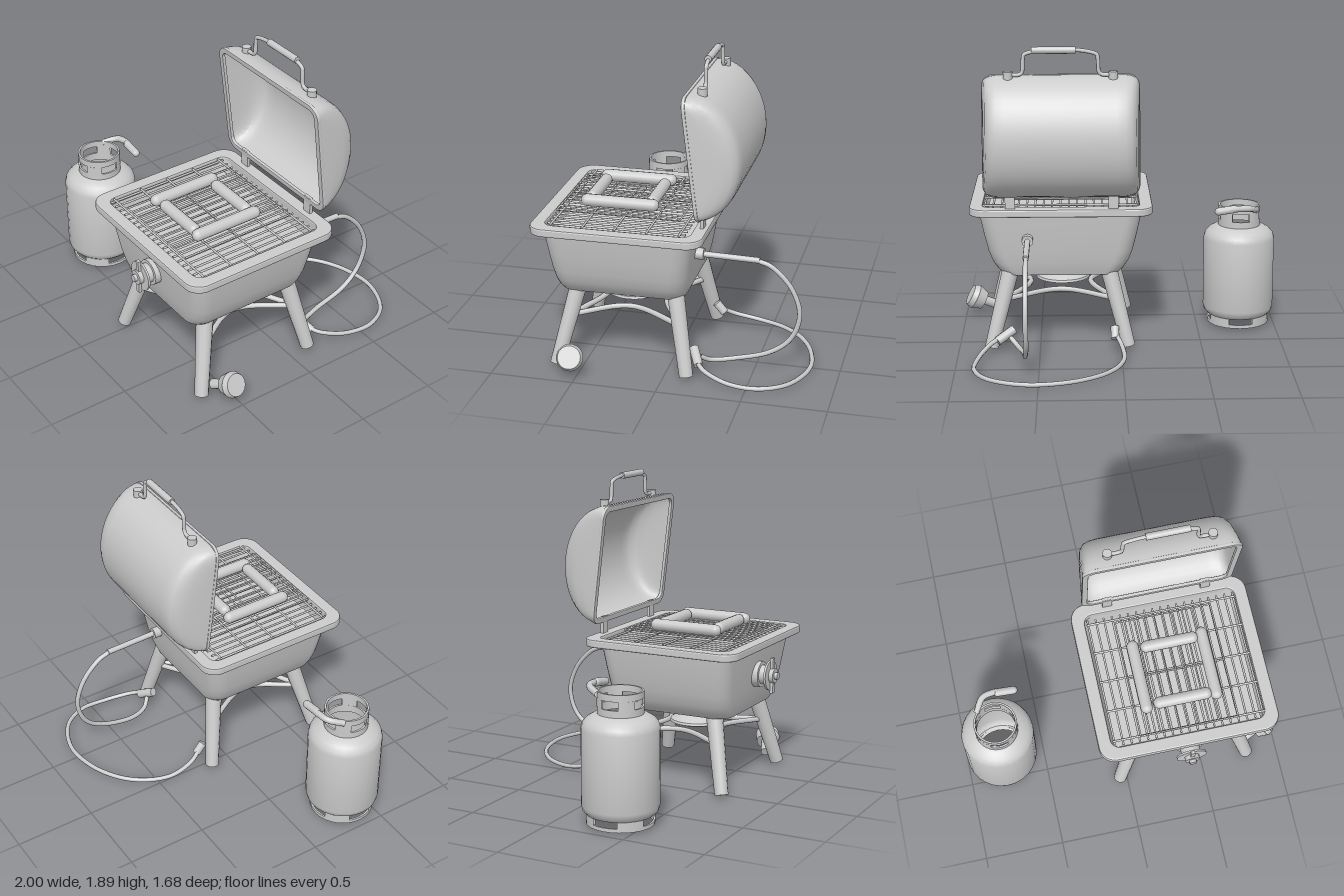
import * as THREE from 'three';
import { toCreasedNormals } from 'three/addons/utils/BufferGeometryUtils.js';

const mat = new THREE.MeshStandardMaterial({ color: 0xcccccc, side: THREE.DoubleSide });
const V = (x, y, z) => new THREE.Vector3(x, y, z);

export function createModel() {
  const root = new THREE.Group();
  const group = (name, parent = root) => {
    const g = new THREE.Group();
    g.name = name;
    parent.add(g);
    return g;
  };
  const add = (name, geo, parent, p = [0, 0, 0]) => {
    const m = new THREE.Mesh(geo, mat);
    m.name = name;
    m.position.set(...p);
    parent.add(m);
    return m;
  };
  // straight rod between two points
  const rod = (name, a, b, r, parent, r2 = r, sides = 12) => {
    const m = add(name, new THREE.CylinderGeometry(r2, r, a.distanceTo(b), sides), parent);
    m.position.copy(a).lerp(b, 0.5);
    m.quaternion.setFromUnitVectors(V(0, 1, 0), b.clone().sub(a).normalize());
    return m;
  };
  const tube = (name, pts, r, parent, tension = 0.5) => {
    const curve = new THREE.CatmullRomCurve3(pts.map((p) => V(...p)), false, 'catmullrom', tension);
    return add(name, new THREE.TubeGeometry(curve, pts.length * 8, r, 8), parent);
  };
  // skin over rings of points
  const loft = (rings, closed) => {
    const n = rings[0].length, idx = [];
    for (let i = 0; i < rings.length - 1; i++)
      for (let j = 0; j < (closed ? n : n - 1); j++) {
        const k = (j + 1) % n, a = i * n + j, b = i * n + k, c = a + n, d = b + n;
        idx.push(a, b, c, b, d, c);
      }
    const g = new THREE.BufferGeometry().setFromPoints(rings.flat());
    g.setIndex(idx);
    return toCreasedNormals(g, 0.6);
  };
  const roundRect = (Type, hx, hy, r) => {
    const s = new Type();
    s.absarc(hx - r, hy - r, r, 0, Math.PI / 2);
    s.absarc(-hx + r, hy - r, r, Math.PI / 2, Math.PI);
    s.absarc(-hx + r, -hy + r, r, Math.PI, Math.PI * 1.5);
    s.absarc(hx - r, -hy + r, r, Math.PI * 1.5, Math.PI * 2);
    s.closePath();
    return s;
  };
  const frame = (hx, hy, r, inset, depth, bevel) => {
    const s = roundRect(THREE.Shape, hx - bevel, hy - bevel, r);
    s.holes.push(roundRect(THREE.Path, hx - inset, hy - inset, r * 0.7));
    return new THREE.ExtrudeGeometry(s, {
      depth, bevelEnabled: true, bevelSize: bevel, bevelThickness: bevel, bevelSegments: 2, curveSegments: 8,
    });
  };

  // Bowl: rounded rectangles narrowing to a flat bottom
  const grill = group('grill');
  const CX = 0.37;
  const section = (y, hx, hz, r, cz) => {
    const ring = [];
    for (let q = 0; q < 4; q++)
      for (let i = 0; i <= 6; i++) {
        const a = (q + i / 6) * Math.PI / 2;
        const sx = q === 0 || q === 3 ? 1 : -1, sz = q < 2 ? 1 : -1;
        ring.push(V(CX + sx * (hx - r) + r * Math.cos(a), y, cz + sz * (hz - r) + r * Math.sin(a)));
      }
    return ring;
  };
  const levels = [[0.88, 0.5, 0.44], [0.8, 0.488, 0.432], [0.7, 0.468, 0.42], [0.6, 0.445, 0.407],
    [0.53, 0.42, 0.396], [0.48, 0.39, 0.385], [0.45, 0.36, 0.376]];
  const rings = levels.map(([y, hx, hz]) => section(y, hx, hz, 0.1, 0.277));
  rings.push(section(0.445, 0.0011, 0.0011, 0.001, 0.277));
  add('bowl', loft(rings, true), grill);
  add('bowlRim', frame(0.555, 0.51, 0.09, 0.07, 0.03, 0.01).rotateX(-Math.PI / 2), grill, [0.365, 0.86, 0.27]);

  // Cooking grates
  const grate = group('grates', grill);
  add('emberTray', new THREE.BoxGeometry(0.9, 0.01, 0.8), grate, [CX, 0.81, 0.277]);
  for (let i = 0; i < 19; i++)
    rod('grateBar', V(-0.09 + i * 0.051, 0.885, -0.13), V(-0.09 + i * 0.051, 0.885, 0.69), 0.007, grate, 0.007, 6);
  for (let i = 0; i < 5; i++)
    rod('crossBar', V(-0.1, 0.895, -0.1 + i * 0.19), V(0.84, 0.895, -0.1 + i * 0.19), 0.007, grate, 0.007, 6);
  for (let i = 0; i < 11; i++)
    rod('rackBar', V(0.07 + i * 0.06, 0.93, -0.07), V(0.07 + i * 0.06, 0.93, 0.67), 0.006, grate, 0.006, 6);
  for (const z of [-0.07, 0.3, 0.67])
    rod('rackCrossBar', V(0.07, 0.925, z), V(0.67, 0.925, z), 0.006, grate, 0.006, 6);

  // Sausages laid in a square
  const food = group('sausages', grill);
  const sausage = (x, z, len, along) => {
    const m = add('sausage', new THREE.CapsuleGeometry(0.037, len - 0.074, 5, 12), food, [x, 0.965, z]);
    if (along === 'x') m.rotation.z = Math.PI / 2;
    else m.rotation.x = Math.PI / 2;
  };
  sausage(0.365, 0.135, 0.36, 'x');
  sausage(0.365, 0.5, 0.36, 'x');
  sausage(0.14, 0.315, 0.47, 'z');
  sausage(0.57, 0.315, 0.47, 'z');

  // Lid: half ellipse slices across the width, tapering into the end walls
  const lid = group('lid', grill);
  lid.position.set(0.36, 1.335, -0.158);
  lid.rotation.x = 0.116;
  const half = [[0.47, 0.82, 0], [0.465, 0.88, 0.3], [0.455, 0.93, 0.6], [0.44, 0.96, 0.83], [0.415, 0.985, 0.94],
    [0.38, 1, 0.985], [0.33, 1, 1]];
  const slices = [...half.map(([h, s, d]) => [-h, s, d]), ...half.slice().reverse()];
  const lidRings = slices.map(([x, s, d]) => Array.from({ length: 25 }, (_, i) => {
    const a = i / 24 * Math.PI;
    return V(x, -Math.cos(a) * 0.366 * s, -Math.sin(a) * 0.28 * d);
  }));
  add('lidShell', loft(lidRings, false), lid);
  add('lidRim', frame(0.472, 0.369, 0.07, 0.03, 0.012, 0.005), lid, [0, 0, -0.01]);

  // Lid handle, mirrored about the lid centre
  const handle = group('lidHandle', grill);
  tube('handleBar', [[0.05, 1.71, -0.2], [0.11, 1.71, -0.2], [0.135, 1.73, -0.2], [0.14, 1.8, -0.2], [0.155, 1.835, -0.2],
    [0.25, 1.855, -0.2], [0.36, 1.857, -0.2], [0.47, 1.855, -0.2], [0.565, 1.835, -0.2], [0.58, 1.8, -0.2],
    [0.585, 1.73, -0.2], [0.61, 1.71, -0.2], [0.67, 1.71, -0.2]], 0.012, handle);
  rod('handleGrip', V(0.27, 1.855, -0.2), V(0.53, 1.855, -0.2), 0.021, handle);
  for (const x of [0.05, 0.67]) {
    rod('handleBolt', V(x, 1.68, -0.2), V(x, 1.73, -0.2), 0.028, handle);
    add('hinge', new THREE.BoxGeometry(0.06, 0.15, 0.02), grill, [x, 0.93, -0.205]);
  }

  // Front burner knob
  const knob = group('burnerKnob', grill);
  const stack = [[0.67, 0.73, 0.08], [0.73, 0.775, 0.06], [0.775, 0.788, 0.093], [0.788, 0.815, 0.045], [0.815, 0.835, 0.022]];
  for (const [a, b, r] of stack) rod('knobDisc', V(0.37, 0.67, a), V(0.37, 0.67, b), r, knob, r, 20);
  add('knobLever', new THREE.BoxGeometry(0.026, 0.22, 0.02), knob, [0.37, 0.67, 0.795]);

  // Legs and bowed braces
  const stand = group('stand', grill);
  const corners = [[0.68, 0.8, 0.545, 0.655], [0.68, 0.8, -0.045, -0.135], [0.075, -0.045, -0.045, -0.135], [0.075, -0.045, 0.545, 0.655]];
  for (const [xt, xb, zt, zb] of corners) rod('leg', V(xb, 0, zb), V(xt, 0.47, zt), 0.042, stand, 0.052);
  const joint = ([xt, xb, zt, zb]) => V(xt, 0, zt).lerp(V(xb, 0, zb), 0.35).setY(0.29);
  corners.forEach((c, i) => {
    const a = joint(c), b = joint(corners[(i + 1) % 4]);
    const m = a.clone().lerp(b, 0.5).lerp(V(CX, 0.29, 0.27), 0.45).setY(0.305);
    tube('brace', [a, m, b].map((p) => p.toArray()), 0.017, stand);
  });

  // Drip pan under the bowl
  const panProfile = [[0, 0.31], [0.11, 0.31], [0.17, 0.33], [0.165, 0.345], [0.11, 0.375], [0.085, 0.39], [0.105, 0.41], [0.09, 0.425], [0.11, 0.45]];
  add('dripPan', toCreasedNormals(new THREE.LatheGeometry(panProfile.map((p) => new THREE.Vector2(...p)), 24), 0.5), grill, [0.36, 0, 0.29]);

  // Gas inlet and hoses
  const gas = group('gasLine');
  rod('inletFlange', V(0.57, 0.69, -0.13), V(0.57, 0.69, -0.19), 0.035, gas);
  rod('inletPipe', V(0.57, 0.69, -0.15), V(0.57, 0.68, -0.52), 0.018, gas);
  tube('upperHose', [[0.57, 0.68, -0.5], [0.57, 0.64, -0.6], [0.57, 0.52, -0.71], [0.57, 0.36, -0.76], [0.57, 0.2, -0.71],
    [0.58, 0.1, -0.58], [0.59, 0.045, -0.38], [0.63, 0.04, -0.25], [0.68, 0.08, -0.19]], 0.015, gas);
  tube('groundHose', [[0.04, 0.1, -0.17], [0.0, 0.05, -0.27], [-0.01, 0.02, -0.42], [0.05, 0.015, -0.58], [0.17, 0.015, -0.71], [0.35, 0.015, -0.8],
    [0.57, 0.015, -0.825], [0.78, 0.015, -0.74], [0.88, 0.015, -0.58], [0.87, 0.02, -0.4], [0.81, 0.05, -0.25], [0.74, 0.08, -0.18]], 0.014, gas);
  rod('hoseFitting', V(0.66, 0.12, -0.15), V(0.76, 0.06, -0.2), 0.028, gas);
  rod('hoseFitting', V(0.04, 0.07, -0.2), V(0.04, 0.13, -0.15), 0.026, gas);

  // Regulator lying by the front leg
  const regulator = group('regulator');
  rod('regulatorStem', V(0.8, 0.045, 0.575), V(0.89, 0.09, 0.54), 0.03, regulator);
  rod('regulatorBody', V(0.885, 0.085, 0.54), V(0.94, 0.115, 0.53), 0.06, regulator, 0.08, 20);
  rod('regulatorCap', V(0.94, 0.115, 0.53), V(0.97, 0.131, 0.525), 0.08, regulator, 0.068, 20);

  // Gas bottle with slotted foot ring and collar
  const bottle = group('gasBottle');
  bottle.position.set(-0.77, 0, 0.36);
  const shell = [[0.17, 0.055], [0.198, 0.06], [0.218, 0.08], [0.226, 0.11], [0.226, 0.56], [0.218, 0.59], [0.195, 0.615], [0.16, 0.635], [0.13, 0.645]];
  add('bottleShell', toCreasedNormals(new THREE.LatheGeometry(shell.map((p) => new THREE.Vector2(...p)), 28), 0.6), bottle);
  const band = (name, r, y0, y1, start = 0, arc = Math.PI * 2) => {
    for (const w of [0, -0.012])
      add(name, new THREE.CylinderGeometry(r + w, r + w, y1 - y0, 28, 1, true, start, arc), bottle, [0, (y0 + y1) / 2, 0]);
    for (const y of [y0, y1])
      add(name + 'Edge', new THREE.RingGeometry(r - 0.012, r, 28, 1, start - Math.PI / 2, arc).rotateX(-Math.PI / 2), bottle, [0, y, 0]);
  };
  band('footRing', 0.198, 0, 0.022);
  band('collarBase', 0.134, 0.635, 0.685);
  band('collarTop', 0.134, 0.735, 0.775);
  for (let i = 0; i < 4; i++) {
    band('footPost', 0.198, 0.022, 0.062, i * Math.PI / 2 + 0.4, 0.8);
    band('collarPost', 0.134, 0.685, 0.735, i * Math.PI / 2 + 0.4, 0.75);
  }
  tube('carryArm', [[-0.1, 0.76, -0.09], [-0.05, 0.785, -0.17], [0.02, 0.79, -0.19], [0.08, 0.785, -0.19]], 0.02, bottle);
  const grip = add('carryGrip', new THREE.CapsuleGeometry(0.025, 0.1, 4, 10), bottle, [0.1, 0.78, -0.185]);
  grip.rotation.z = Math.PI / 2 - 0.15;

  return root;
}
